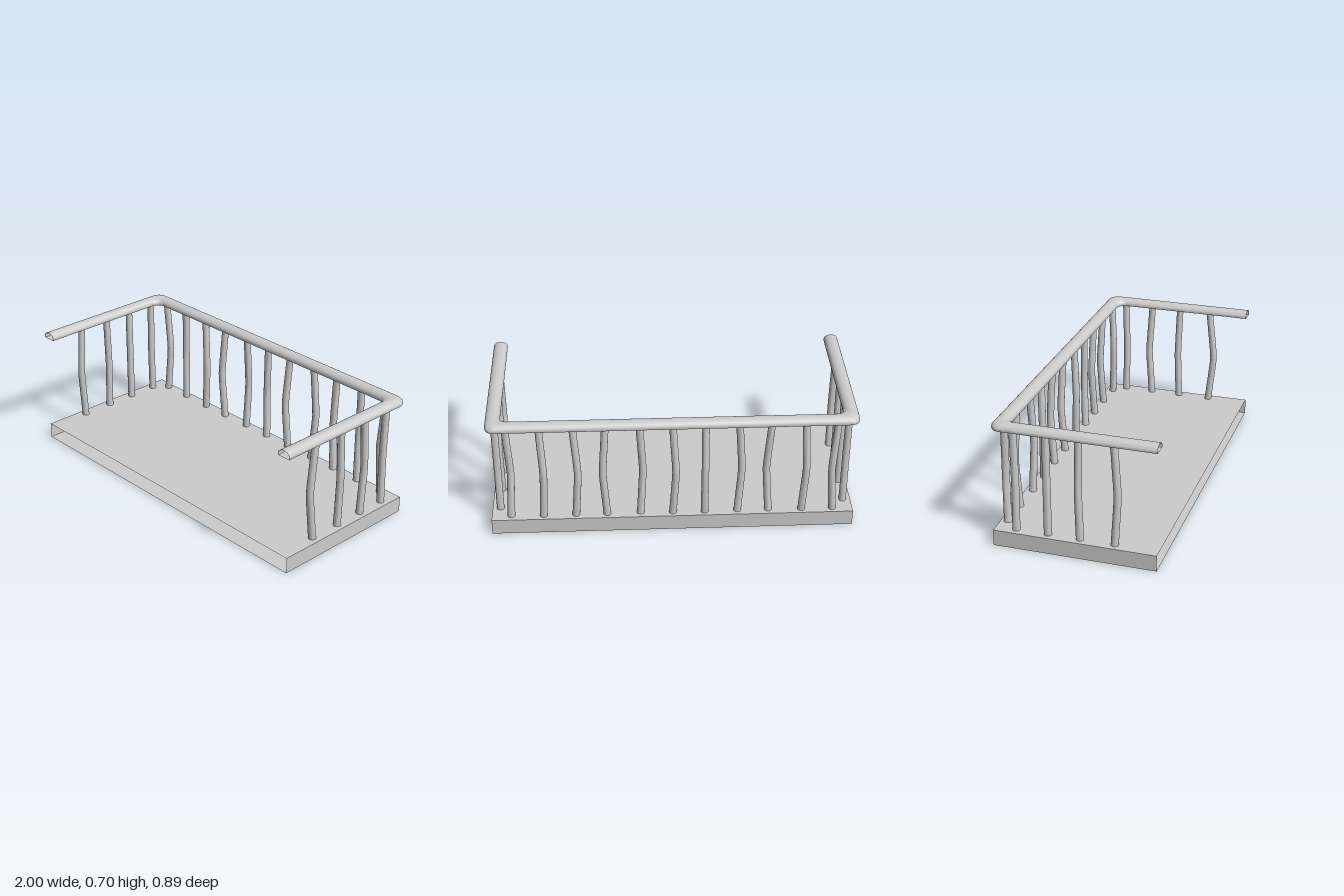
import * as THREE from 'three';
import { toCreasedNormals } from 'three/addons/utils/BufferGeometryUtils.js';

const material = new THREE.MeshStandardMaterial({ color: 0xcccccc, side: THREE.DoubleSide });

const HALF_X = 1, HALF_Z = 0.445, FLOOR_H = 0.09;
const RAIL_X = 0.96, RAIL_Z = 0.405;

function addMesh(parent, geometry, name) {
  const mesh = new THREE.Mesh(geometry, material);
  mesh.name = name;
  parent.add(mesh);
  return mesh;
}

// Hollow floor slab, left open along the front
function floorGeometry() {
  const g = new THREE.BoxGeometry(HALF_X * 2, FLOOR_H, HALF_Z * 2);
  const index = Array.from(g.index.array);
  index.splice(24, 6); // drop the +z face
  g.setIndex(index);
  g.clearGroups();
  return g;
}

// Round post, kinked at mid height by (bendX, bendZ)
function balusterGeometry(bendX, bendZ) {
  const bottom = 0.06, top = 0.68, h = top - bottom;
  const g = new THREE.CylinderGeometry(0.02, 0.021, h, 16, 12);
  const p = g.attributes.position;
  for (let i = 0; i < p.count; i++) {
    const y = p.getY(i);
    const t = Math.min(1, 1.06 - Math.sqrt((2 * y / h) ** 2 + 0.0036));
    p.setX(i, p.getX(i) + bendX * t);
    p.setZ(i, p.getZ(i) + bendZ * t);
  }
  g.translate(0, bottom + h / 2, 0);
  return toCreasedNormals(g, 0.7);
}

// U-shaped run of the handrail, shifted outward by d, with rounded corners
function railPath(d) {
  const x = RAIL_X + d, z = RAIL_Z + d, r = 0.05, steps = 8;
  const pts = [[-x, HALF_Z]];
  for (const side of [-1, 1]) {
    for (let i = 0; i <= steps; i++) {
      const a = (side < 0 ? i : steps - i) / steps * Math.PI / 2;
      pts.push([side * (x - r + r * Math.cos(a)), -(z - r + r * Math.sin(a))]);
    }
  }
  pts.push([x, HALF_Z]);
  return pts;
}

// Handrail: domed top, flat underside, open ends
function railGeometry() {
  const profile = [[-0.038, 0.665]];
  for (let i = 0; i <= 12; i++) {
    const a = Math.PI * (1 - i / 12);
    profile.push([0.04 * Math.cos(a), 0.675 + 0.03 * Math.sin(a)]);
  }
  profile.push([0.038, 0.665]);
  const n = profile.length;
  const paths = profile.map(([d]) => railPath(d));
  const positions = [], index = [];
  for (let i = 0; i < paths[0].length; i++) {
    for (let j = 0; j < n; j++) {
      positions.push(paths[j][i][0], profile[j][1], paths[j][i][1]);
      if (i === 0) continue;
      const k = (j + 1) % n, a = (i - 1) * n, b = i * n;
      index.push(a + j, b + j, a + k, a + k, b + j, b + k);
    }
  }
  const g = new THREE.BufferGeometry();
  g.setAttribute('position', new THREE.Float32BufferAttribute(positions, 3));
  g.setIndex(index);
  return toCreasedNormals(g, 0.9);
}

export function createModel() {
  const model = new THREE.Group();
  model.name = 'balcony';

  const floor = addMesh(model, floorGeometry(), 'floor');
  floor.position.y = FLOOR_H / 2;
  addMesh(model, railGeometry(), 'handrail');

  // Back row: bends in x and z, from right to left
  const backRow = new THREE.Group();
  backRow.name = 'backBalusters';
  const backBends = [
    [0.022, -0.01], [-0.016, -0.015], [0.022, 0.01], [0.0225 * -1, 0.01], [0, -0.02], [-0.019, -0.015],
    [-0.018, 0.015], [0.022, -0.01], [-0.022, -0.01], [-0.015, -0.017], [-0.015, 0.015],
  ];
  backBends.forEach(([bx, bz], i) => {
    const post = addMesh(backRow, balusterGeometry(bx, bz), 'backBaluster');
    post.position.set(-0.89 + 0.1785 * i, 0, -0.405);
  });
  model.add(backRow);

  // Side rows: [z, bend on the left side, bend on the right side]
  const sidePosts = [
    [0.205, 0.035, 0.02], [0.021, -0.012, -0.008], [-0.156, -0.022, 0], [-0.332, 0.007, 0.004],
  ];
  for (const side of [1, -1]) {
    const row = new THREE.Group();
    row.name = side > 0 ? 'leftBalusters' : 'rightBalusters';
    for (const [z, leftBend, rightBend] of sidePosts) {
      const post = addMesh(row, balusterGeometry(0, side > 0 ? leftBend : rightBend), 'sideBaluster');
      post.position.set(side * 0.956, 0, z);
    }
    model.add(row);
  }
  return model;
}
